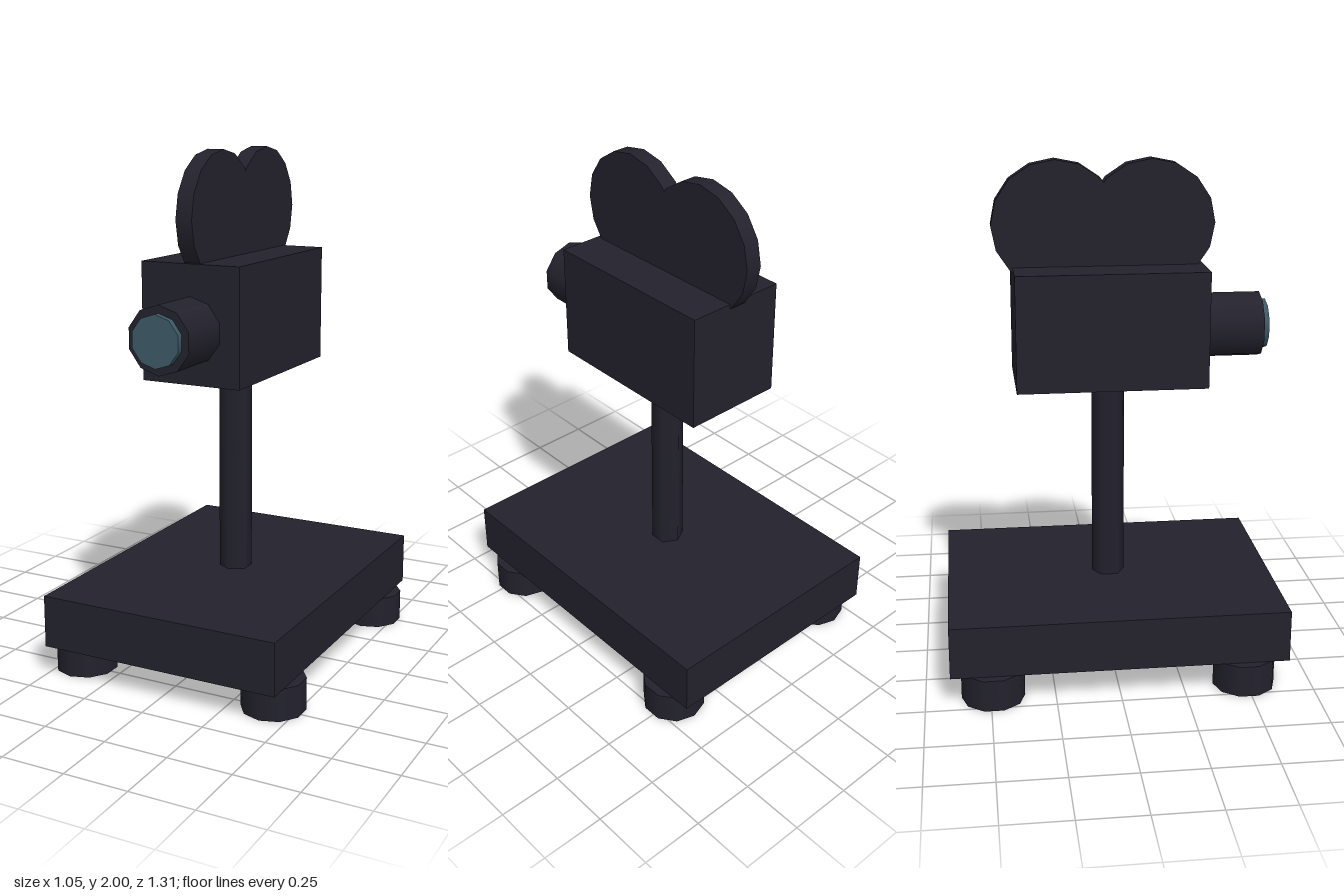
import * as THREE from 'three';

export function createModel() {
  const model = new THREE.Group();
  model.name = 'filmCamera';
  const dark = new THREE.MeshStandardMaterial({ color: 0x23222d });
  dark.name = 'dark body';
  const glass = new THREE.MeshStandardMaterial({ color: 0x3e5a67 });
  glass.name = 'lens glass';

  const add = (name, geometry, material, x, y, z) => {
    const mesh = new THREE.Mesh(geometry, material);
    mesh.name = name;
    mesh.position.set(x, y, z);
    model.add(mesh);
    return mesh;
  };
  const cylinder = (radius, height, sides) =>
    new THREE.CylinderGeometry(radius, radius, height, sides);

  // Base slab on four round feet
  add('base', new THREE.BoxGeometry(0.976, 0.205, 1.306), dark, 0, 0.2275, 0);
  for (const sx of [-1, 1]) {
    for (const sz of [-1, 1]) {
      add('foot', cylinder(0.122, 0.125, 10), dark, sx * 0.407, 0.0625, sz * 0.49);
    }
  }

  // Six-sided post
  add('post', cylinder(0.065, 0.818, 6), dark, 0, 0.739, 0);

  // Camera body
  add('cameraBody', new THREE.BoxGeometry(0.406, 0.45, 0.734), dark, 0, 1.372, 0);

  // Lens barrel and glass, pointing forward
  add('lensBarrel', cylinder(0.128, 0.23, 10).rotateX(Math.PI / 2), dark, 0, 1.35, 0.48);
  add('lensGlass', cylinder(0.098, 0.026, 10).rotateX(Math.PI / 2), glass, 0, 1.35, 0.607);

  // Pair of film reels standing in the top of the body
  for (const z of [0.165, -0.202]) {
    add('filmReel', cylinder(0.244, 0.066, 16).rotateZ(Math.PI / 2), dark, 0, 1.756, z);
  }

  return model;
}
